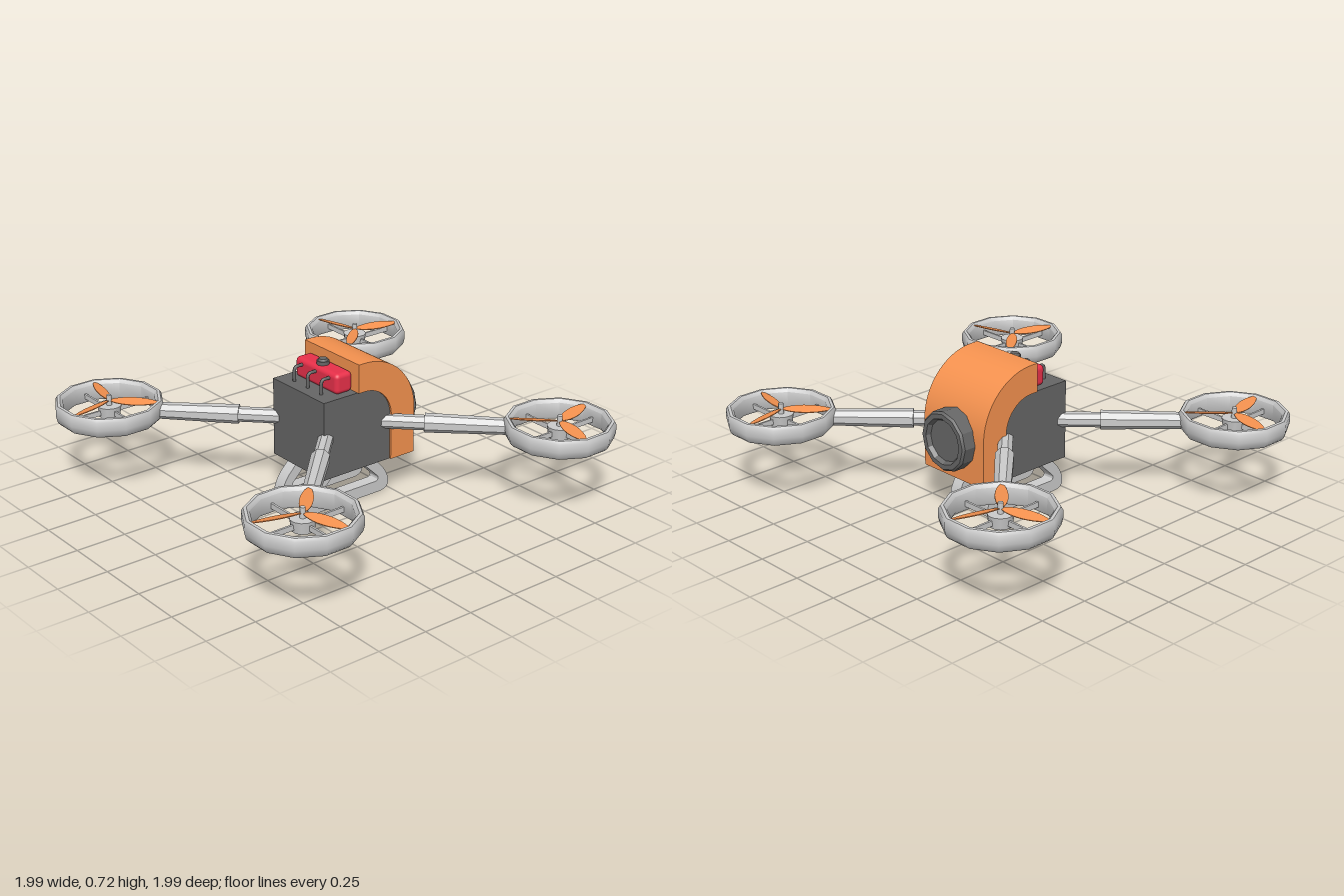
import * as THREE from 'three';
import { toCreasedNormals } from 'three/addons/utils/BufferGeometryUtils.js';
import { RoundedBoxGeometry } from 'three/addons/geometries/RoundedBoxGeometry.js';

const material = (color, extra = {}) => new THREE.MeshStandardMaterial({ color, ...extra });
const grey = material(0xcccccc);
const dark = material(0x666666);
const orange = material(0xf5924f);
const bladeOrange = material(0xf5924f, { side: THREE.DoubleSide });
const red = material(0xe8304a);

function add(parent, name, geometry, mat, x = 0, y = 0, z = 0) {
  const mesh = new THREE.Mesh(geometry, mat);
  mesh.name = name;
  mesh.position.set(x, y, z);
  parent.add(mesh);
  return mesh;
}

// Side profile (u runs towards the back, v up) extruded across x and centred
function sideExtrude(shape, width) {
  const g = new THREE.ExtrudeGeometry(shape, { depth: width, bevelEnabled: false, curveSegments: 12 });
  g.translate(0, 0, -width / 2).rotateY(Math.PI / 2);
  return toCreasedNormals(g, 0.5);
}

function lathe(points, segments, crease = 0.6) {
  const g = new THREE.LatheGeometry(points.map(p => new THREE.Vector2(...p)), segments);
  return toCreasedNormals(g, crease);
}

// Closed polygon with each corner rounded by its own radius: [u, v, radius]
function roundedPath(path, corners) {
  const n = corners.length;
  corners.forEach(([u, v, r], i) => {
    const c = new THREE.Vector2(u, v);
    const toward = k => {
      const q = corners[(k + n) % n];
      return new THREE.Vector2(q[0], q[1]).sub(c).normalize().multiplyScalar(r).add(c);
    };
    const a = toward(i - 1), b = toward(i + 1);
    if (i) path.lineTo(a.x, a.y); else path.moveTo(a.x, a.y);
    path.quadraticCurveTo(u, v, b.x, b.y);
  });
  path.closePath();
  return path;
}

function buildBody(group) {
  const bodyShape = new THREE.Shape();
  bodyShape.moveTo(-0.195, 0.195);
  bodyShape.lineTo(0.195, 0.195);
  bodyShape.lineTo(0.195, 0.42);
  bodyShape.absarc(0.035, 0.42, 0.16, 0, Math.PI / 2, false);
  bodyShape.lineTo(-0.195, 0.58);
  add(group, 'body', sideExtrude(bodyShape, 0.38), dark);

  // Curved shell wrapped over the top and back
  const shell = new THREE.Shape();
  shell.moveTo(0.195, 0.195);
  shell.lineTo(0.335, 0.195);
  shell.lineTo(0.335, 0.42);
  shell.absarc(0.035, 0.42, 0.3, 0, Math.PI / 2, false);
  shell.lineTo(0, 0.72);
  shell.lineTo(0, 0.58);
  shell.lineTo(0.035, 0.58);
  shell.absarc(0.035, 0.42, 0.16, Math.PI / 2, 0, true);
  add(group, 'rearShell', sideExtrude(shell, 0.4), orange);

  // Lens barrel with a recessed glass
  const lens = lathe([[0, 0], [0.145, 0], [0.145, 0.145], [0.135, 0.155], [0.112, 0.155],
    [0.1, 0.135], [0, 0.135]], 12, 0.4);
  add(group, 'rearLens', lens.rotateY(Math.PI / 2).rotateX(-Math.PI / 2), dark, 0, 0.39, -0.25);

  add(group, 'undersidePlate', new THREE.BoxGeometry(0.14, 0.035, 0.2), dark, 0, 0.182, 0);
}

function buildBattery(group) {
  add(group, 'battery', new RoundedBoxGeometry(0.31, 0.1, 0.095, 3, 0.022), red, 0, 0.627, 0.047);
  add(group, 'capBase', new THREE.CylinderGeometry(0.03, 0.03, 0.02, 12), dark, 0, 0.684, 0.05);
  add(group, 'cap', new THREE.CylinderGeometry(0.02, 0.026, 0.012, 12), dark, 0, 0.698, 0.05);
  // Cables from the battery down into the body
  const path = new THREE.CatmullRomCurve3([[0.65, 0.08], [0.65, 0.125], [0.645, 0.135],
    [0.63, 0.14], [0.57, 0.14]].map(([y, z]) => new THREE.Vector3(0, y, z)), false, 'catmullrom', 0.2);
  for (const x of [-0.1, 0, 0.1])
    add(group, 'batteryCable', new THREE.TubeGeometry(path, 16, 0.008, 8), dark, x);
}

function buildSkids(group) {
  const shape = roundedPath(new THREE.Shape(), [[-0.26, 0.005, 0.075], [0.26, 0.005, 0.075],
    [0.225, 0.11, 0.05], [0.14, 0.197, 0.005], [-0.14, 0.197, 0.005], [-0.225, 0.11, 0.05]]);
  shape.holes.push(roundedPath(new THREE.Path(), [[-0.18, 0.063, 0.018], [-0.18, 0.085, 0.01],
    [-0.1, 0.163, 0.01], [0.1, 0.163, 0.01], [0.18, 0.085, 0.01], [0.18, 0.063, 0.018]]));
  const geometry = sideExtrude(shape, 0.062);
  for (const x of [-0.097, 0.097]) add(group, 'landingSkid', geometry, grey, x, -0.003);
}

// Thin elliptical blade along +x, pitched about its length
function bladeGeometry() {
  const s = new THREE.Shape();
  s.moveTo(0.01, -0.008);
  s.bezierCurveTo(0.07, -0.04, 0.18, -0.035, 0.238, -0.004);
  s.lineTo(0.238, 0.004);
  s.bezierCurveTo(0.18, 0.035, 0.07, 0.04, 0.01, 0.008);
  const g = new THREE.ExtrudeGeometry(s, { depth: 0.004, bevelEnabled: false, curveSegments: 10 });
  return g.rotateX(-Math.PI / 2 + 0.25);
}

// One arm pointing along +x with a ducted rotor at its end
function buildRotorArm() {
  const arm = new THREE.Group();
  arm.name = 'rotorArm';
  const bar = (name, r0, r1, from, to) =>
    add(arm, name, toCreasedNormals(new THREE.CylinderGeometry(r1, r0, to - from, 8)
      .rotateY(Math.PI / 8).rotateZ(-Math.PI / 2), 0.6), grey, (from + to) / 2);
  bar('innerArm', 0.036, 0.036, 0.18, 0.45);
  bar('outerArm', 0.046, 0.039, 0.435, 0.83);

  const rotor = new THREE.Group();
  rotor.name = 'rotor';
  rotor.position.x = 1.055;
  arm.add(rotor);

  // Twelve-sided guard ring, rounded towards the bottom
  const ring = lathe([[0.222, -0.035], [0.228, -0.047], [0.24, -0.045], [0.252, -0.032], [0.259, -0.005],
    [0.259, 0.035], [0.25, 0.05], [0.236, 0.051], [0.222, 0.035], [0.222, -0.035]], 12, 0.8);
  add(rotor, 'guardRing', ring, grey);

  add(rotor, 'motor', new THREE.CylinderGeometry(0.058, 0.05, 0.055, 12), grey, 0, -0.01);
  add(rotor, 'spindle', new THREE.CylinderGeometry(0.012, 0.014, 0.055, 8), grey, 0, 0.04);
  for (let i = 0; i < 2; i++) {
    const spoke = add(rotor, 'spokes', new THREE.BoxGeometry(0.46, 0.025, 0.01), grey, 0, -0.012);
    spoke.rotation.y = Math.PI / 4 + i * Math.PI / 2;
  }
  const blade = bladeGeometry();
  for (let i = 0; i < 3; i++) {
    const mesh = add(rotor, 'blade', blade, bladeOrange, 0, 0.038);
    mesh.rotation.y = Math.PI + i * Math.PI * 2 / 3;
  }
  return arm;
}

export function createModel() {
  const model = new THREE.Group();
  model.name = 'quadcopter';
  buildBody(model);
  buildBattery(model);
  buildSkids(model);
  for (let i = 0; i < 4; i++) {
    const arm = buildRotorArm();
    arm.position.y = 0.388;
    arm.rotation.y = Math.PI / 4 + i * Math.PI / 2;
    model.add(arm);
  }
  return model;
}
